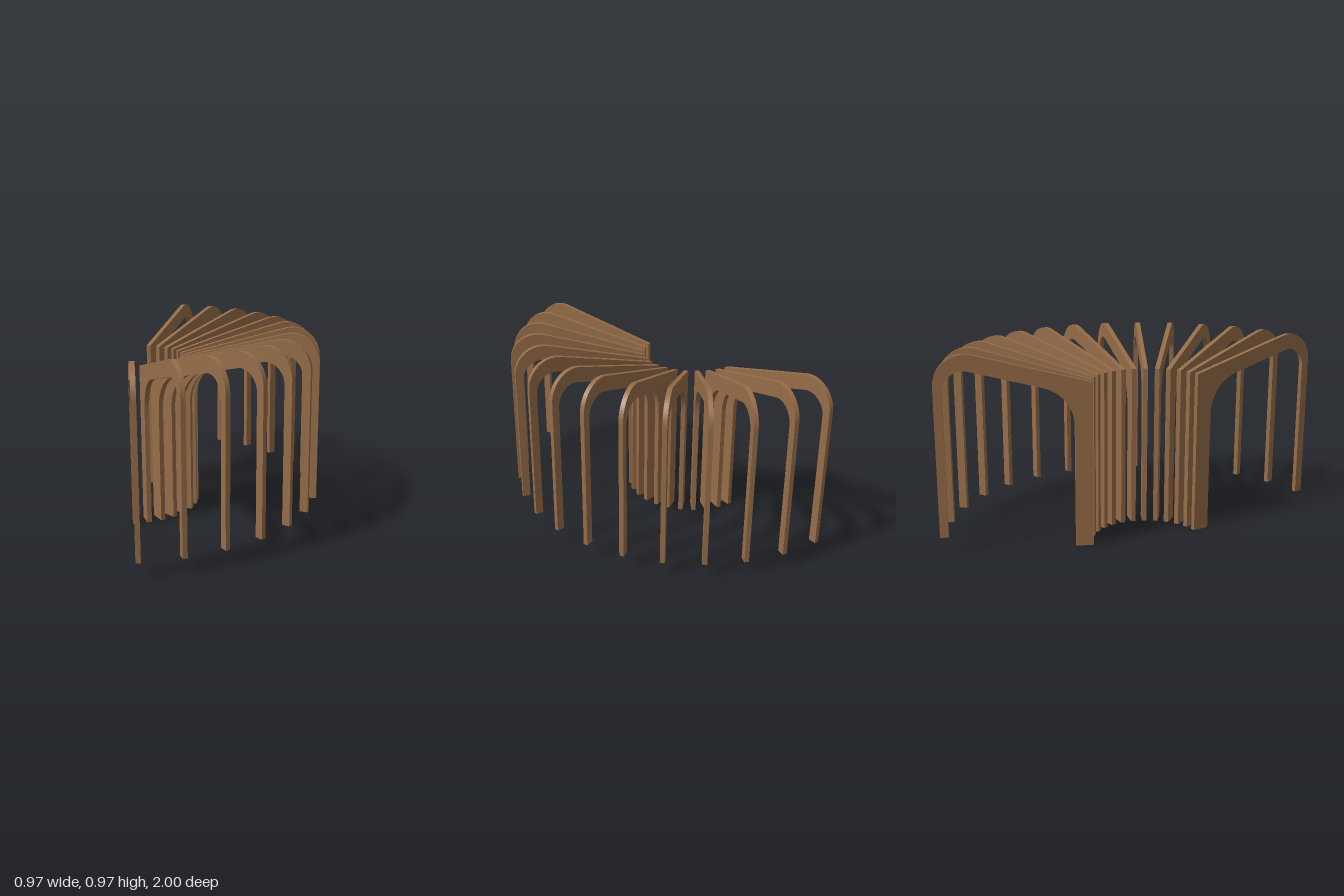
import * as THREE from 'three';
import { toCreasedNormals } from 'three/addons/utils/BufferGeometryUtils.js';

const THICKNESS = 0.024;
const SLOPE = THREE.MathUtils.degToRad(14.4); // pitch of the beam

// Side profile of one rib: x is the distance from the fan's centre, y is height
function ribProfile() {
  const s = new THREE.Shape();
  s.moveTo(0.277, 0);
  s.lineTo(0.363, 0);
  // inner leg sweeping into the underside of the beam
  s.absarc(0.563, 0.606, 0.2, Math.PI, Math.PI / 2 + SLOPE, true);
  // underside curving down into the outer post
  s.absarc(0.878, 0.79, 0.1, Math.PI / 2 + SLOPE, 0, true);
  s.lineTo(0.978, 0.08);
  s.lineTo(1.02, 0.08);
  // rounded outer shoulder, then the straight sloping top
  s.absarc(0.872, 0.82, 0.148, 0, Math.PI / 2 + SLOPE, false);
  s.lineTo(0.277, 0.82);
  s.closePath();
  return s;
}

export function createModel() {
  const model = new THREE.Group();
  model.name = 'fanOfArchedRibs';

  const wood = new THREE.MeshStandardMaterial({ color: 0x966d48 });
  wood.name = 'brownWood';

  const extruded = new THREE.ExtrudeGeometry(ribProfile(), {
    depth: THICKNESS, bevelEnabled: false, curveSegments: 20,
  });
  extruded.translate(0, 0, -THICKNESS / 2);
  const geometry = toCreasedNormals(extruded, 0.5);

  // Ribs fan out every 12 degrees, mirrored front to rear
  for (const [side, sign] of [['front', 1], ['rear', -1]]) {
    for (let i = 0; i < 7; i++) {
      const rib = new THREE.Mesh(geometry, wood);
      rib.name = `${side}Rib${i + 1}`;
      rib.position.x = -0.53;
      rib.rotation.y = -sign * THREE.MathUtils.degToRad(6 + 12 * i);
      model.add(rib);
    }
  }
  return model;
}
